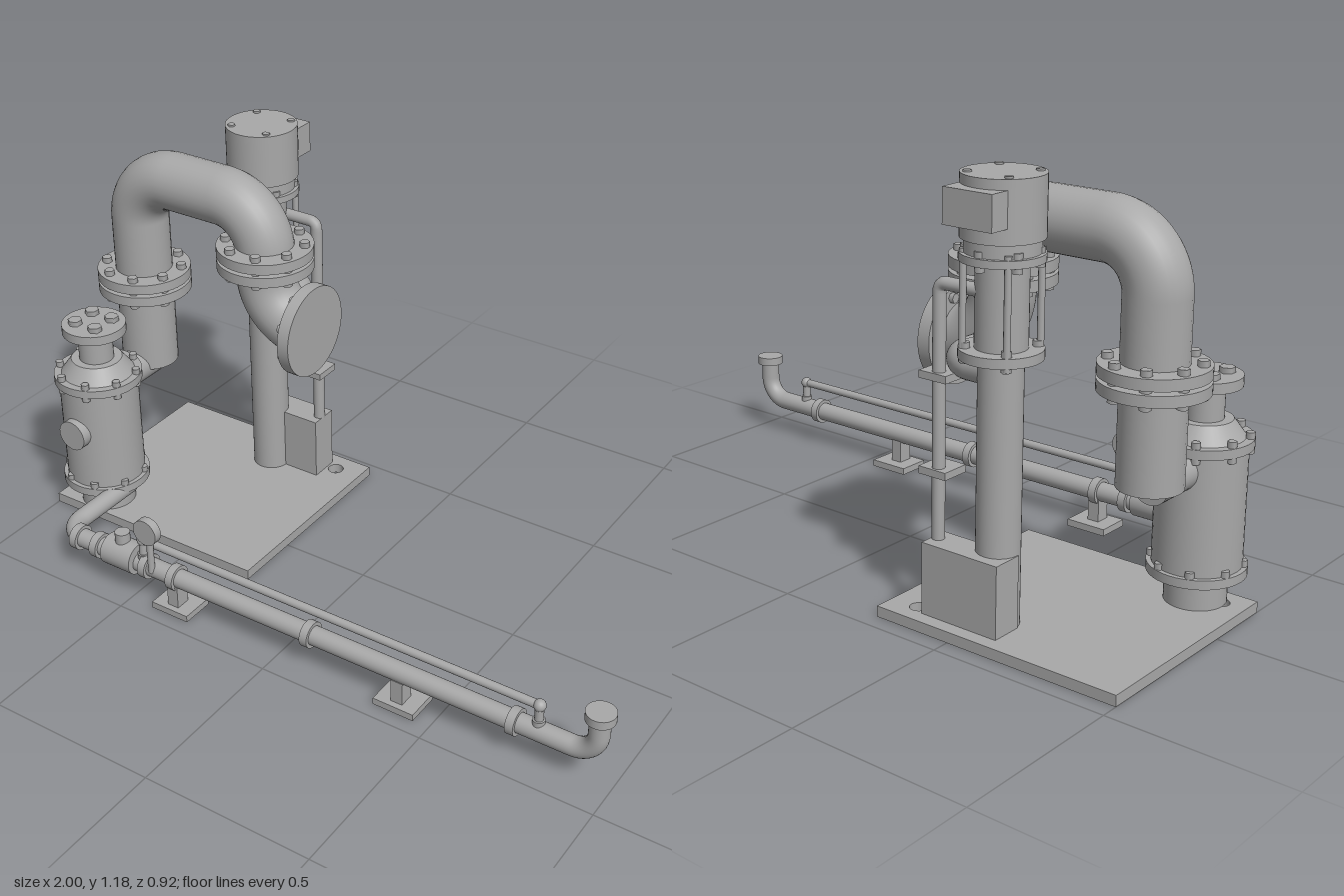
import * as THREE from 'three';

export function createModel() {
  const model = new THREE.Group();
  const steel = new THREE.MeshStandardMaterial({ color: 0xa8a8a8 });
  steel.name = 'grey steel';
  const V = (x, y, z) => new THREE.Vector3(x, y, z);

  function add(name, geo, x = 0, y = 0, z = 0) {
    const m = new THREE.Mesh(geo, steel);
    m.name = name;
    m.position.set(x, y, z);
    model.add(m);
    return m;
  }
  const box = (name, x0, x1, y0, y1, z0, z1) =>
    add(name, new THREE.BoxGeometry(x1 - x0, y1 - y0, z1 - z0), (x0 + x1) / 2, (y0 + y1) / 2, (z0 + z1) / 2);

  // Closed cylinder between two points, with optional different end radius
  function cyl(name, a, b, r, r2 = r, sides = 40) {
    const d = b.clone().sub(a);
    const mid = a.clone().add(b).multiplyScalar(0.5);
    const m = add(name, new THREE.CylinderGeometry(r2, r, d.length(), sides), mid.x, mid.y, mid.z);
    m.quaternion.setFromUnitVectors(V(0, 1, 0), d.normalize());
    return m;
  }
  const upright = (name, x, z, y0, y1, r, r2 = r, sides = 40) => cyl(name, V(x, y0, z), V(x, y1, z), r, r2, sides);

  // Capped pipe through corner points, each corner rounded with a bend radius
  function pipe(name, pts, r, bend, segments = 80) {
    const path = new THREE.CurvePath();
    const k = 1 - 0.5523;
    let from = pts[0];
    for (let i = 1; i < pts.length - 1; i++) {
      const p = pts[i];
      const u = pts[i - 1].clone().sub(p).normalize().multiplyScalar(bend);
      const v = pts[i + 1].clone().sub(p).normalize().multiplyScalar(bend);
      const a = p.clone().add(u), b = p.clone().add(v);
      if (from.distanceTo(a) > 1e-4) path.add(new THREE.LineCurve3(from, a));
      path.add(new THREE.CubicBezierCurve3(a, p.clone().addScaledVector(u, k), p.clone().addScaledVector(v, k), b));
      from = b;
    }
    path.add(new THREE.LineCurve3(from, pts[pts.length - 1]));
    add(name, new THREE.TubeGeometry(path, segments, r, 28));
    for (const t of [0, 1]) {
      const c = path.getPointAt(t);
      const cap = add(name + 'End', new THREE.CircleGeometry(r, 28), c.x, c.y, c.z);
      cap.quaternion.setFromUnitVectors(V(0, 0, 1), path.getTangentAt(t).multiplyScalar(t ? 1 : -1));
    }
  }

  // Ring of upright hexagonal bolts
  function bolts(name, x, z, y0, y1, ring, n, r = 0.013) {
    for (let i = 0; i < n; i++) {
      const a = ((i + 0.5) / n) * Math.PI * 2;
      upright(name, x + ring * Math.cos(a), z + ring * Math.sin(a), y0, y1, r, r, 6);
    }
  }

  // Base plate with two drilled holes
  const plate = new THREE.Shape([[-1, -0.2], [-0.27, -0.2], [-0.27, 0.45], [-1, 0.45]].map(p => new THREE.Vector2(...p)));
  for (const [x, y] of [[-0.355, 0.385], [-0.93, -0.135]]) {
    plate.holes.push(new THREE.Path().absarc(x, y, 0.024, 0, Math.PI * 2, true));
  }
  add('basePlate', new THREE.ExtrudeGeometry(plate, { depth: 0.03, bevelEnabled: false, curveSegments: 20 }))
    .rotation.x = -Math.PI / 2;

  // Pump column, lantern and motor
  const px = -0.56, pz = -0.325;
  upright('pumpColumn', px, pz, 0.03, 0.73, 0.057);
  upright('lanternLowerFlange', px, pz, 0.725, 0.75, 0.105);
  upright('lantern', px, pz, 0.75, 0.965, 0.066);
  upright('lanternUpperFlange', px, pz, 0.965, 0.985, 0.105);
  for (let i = 0; i < 4; i++) {
    const a = (i + 0.5) * Math.PI / 2;
    upright('lanternRod', px + 0.094 * Math.cos(a), pz + 0.094 * Math.sin(a), 0.715, 0.995, 0.009, 0.009, 12);
  }
  bolts('lanternBolt', px, pz, 0.712, 0.765, 0.088, 4);
  bolts('motorBolt', px, pz, 0.95, 1.0, 0.088, 6);
  upright('motorFoot', px, pz, 0.985, 1.02, 0.094);
  upright('motor', px, pz, 1.02, 1.175, 0.104);
  bolts('motorCoverBolt', px, pz, 1.165, 1.18, 0.086, 4, 0.011);
  box('terminalBox', -0.63, -0.485, 1.06, 1.15, -0.46, -0.40);
  box('controlBox', -0.62, -0.385, 0.03, 0.225, -0.41, -0.32);

  // Thin riser with its brackets
  pipe('riser', [V(-0.4, 0.22, -0.363), V(-0.4, 0.89, -0.363), V(-0.53, 0.89, -0.363)], 0.017, 0.02);
  for (const y of [0.395, 0.645]) box('riserBracket', -0.44, -0.355, y, y + 0.02, -0.387, -0.305);

  // Pump outlet turning into the main elbow
  pipe('pumpOutlet', [V(px, 0.69, pz), V(-0.415, 0.69, pz), V(-0.415, 0.69, -0.13)], 0.043, 0.06);

  // Large arched pipe with flange pairs
  const mz = -0.123, lx = -0.863, rx = -0.41;
  pipe('archPipe', [V(lx, 0.41, mz), V(lx, 1.03, mz), V(rx, 1.03, mz), V(rx, 0.84, mz)], 0.085, 0.14, 110);
  pipe('outletElbow', [V(rx, 0.87, mz), V(rx, 0.685, mz), V(-0.26, 0.685, mz)], 0.085, 0.145, 60);
  for (const [x, y] of [[lx, 0.655], [rx, 0.848]]) {
    upright('lowerFlange', x, mz, y, y + 0.03, 0.139, 0.139, 56);
    upright('upperFlange', x, mz, y + 0.04, y + 0.07, 0.139, 0.139, 56);
    bolts('flangeBolt', x, mz, y - 0.014, y + 0.086, 0.115, 8, 0.015);
  }
  cyl('outletFlange', V(-0.28, 0.685, mz), V(-0.243, 0.685, mz), 0.135, 0.135, 56);
  for (let i = 0; i < 8; i++) {
    const a = (i + 0.5) * Math.PI / 4;
    const y = 0.685 + 0.112 * Math.sin(a), z = mz + 0.112 * Math.cos(a);
    cyl('outletBolt', V(-0.293, y, z), V(-0.27, y, z), 0.014, 0.014, 6);
  }

  // Filter vessel
  const vz = 0.118;
  cyl('vesselInlet', V(lx, 0.412, mz), V(lx, 0.412, vz), 0.052);
  upright('vesselFoot', lx, vz, 0.03, 0.115, 0.082);
  upright('vesselBottomFlange', lx, vz, 0.11, 0.135, 0.13);
  upright('vesselBody', lx, vz, 0.13, 0.46, 0.117);
  upright('vesselTopFlange', lx, vz, 0.455, 0.48, 0.13);
  bolts('vesselBottomBolt', lx, vz, 0.13, 0.152, 0.118, 8, 0.012);
  bolts('vesselTopBolt', lx, vz, 0.44, 0.497, 0.118, 8, 0.012);
  upright('vesselCone', lx, vz, 0.48, 0.525, 0.108, 0.075);
  upright('vesselNeck', lx, vz, 0.52, 0.615, 0.051);
  upright('vesselLid', lx, vz, 0.612, 0.64, 0.094);
  bolts('lidBolt', lx, vz, 0.64, 0.655, 0.053, 4, 0.021);
  cyl('vesselPort', V(lx, 0.318, vz), V(lx, 0.318, 0.256), 0.047);

  // Long drain line
  const dy = 0.107, dz = 0.413;
  pipe('drainLine', [V(-0.772, dy, 0.12), V(-0.772, dy, dz), V(0.96, dy, dz), V(0.96, 0.24, dz)], 0.028, 0.07, 260);
  upright('drainEndCap', 0.96, dz, 0.225, 0.25, 0.04);
  for (const x of [-0.715, -0.64, -0.46, -0.36, 0.1, 0.73]) {
    cyl('drainCollar', V(x - 0.012, dy, dz), V(x + 0.012, dy, dz), 0.038);
  }
  cyl('valveBody', V(-0.6, dy + 0.008, dz), V(-0.495, dy + 0.008, dz), 0.047);
  upright('valveStem', -0.55, dz, 0.14, 0.19, 0.022);

  // Bypass line running above the drain line
  pipe('bypassLine', [V(-0.475, 0.11, dz), V(-0.475, 0.19, dz), V(0.795, 0.19, dz), V(0.795, 0.11, dz)], 0.012, 0.015, 260);
  for (const x of [-0.475, 0.795]) {
    add('bypassElbow', new THREE.SphereGeometry(0.017, 20, 14), x, 0.19, dz);
    upright('bypassSocket', x, dz, 0.12, 0.145, 0.017, 0.017, 20);
  }

  // Pressure gauge
  upright('gaugeStem', -0.43, 0.435, 0.11, 0.23, 0.01, 0.01, 16);
  cyl('gauge', V(-0.43, 0.255, 0.43), V(-0.43, 0.255, 0.455), 0.04);

  // Pipe supports
  for (const x of [-0.358, 0.39]) {
    box('supportFoot', x - 0.062, x + 0.062, 0, 0.02, 0.355, 0.455);
    box('supportPost', x - 0.018, x + 0.018, 0.02, 0.09, 0.392, 0.437);
  }
  return model;
}
